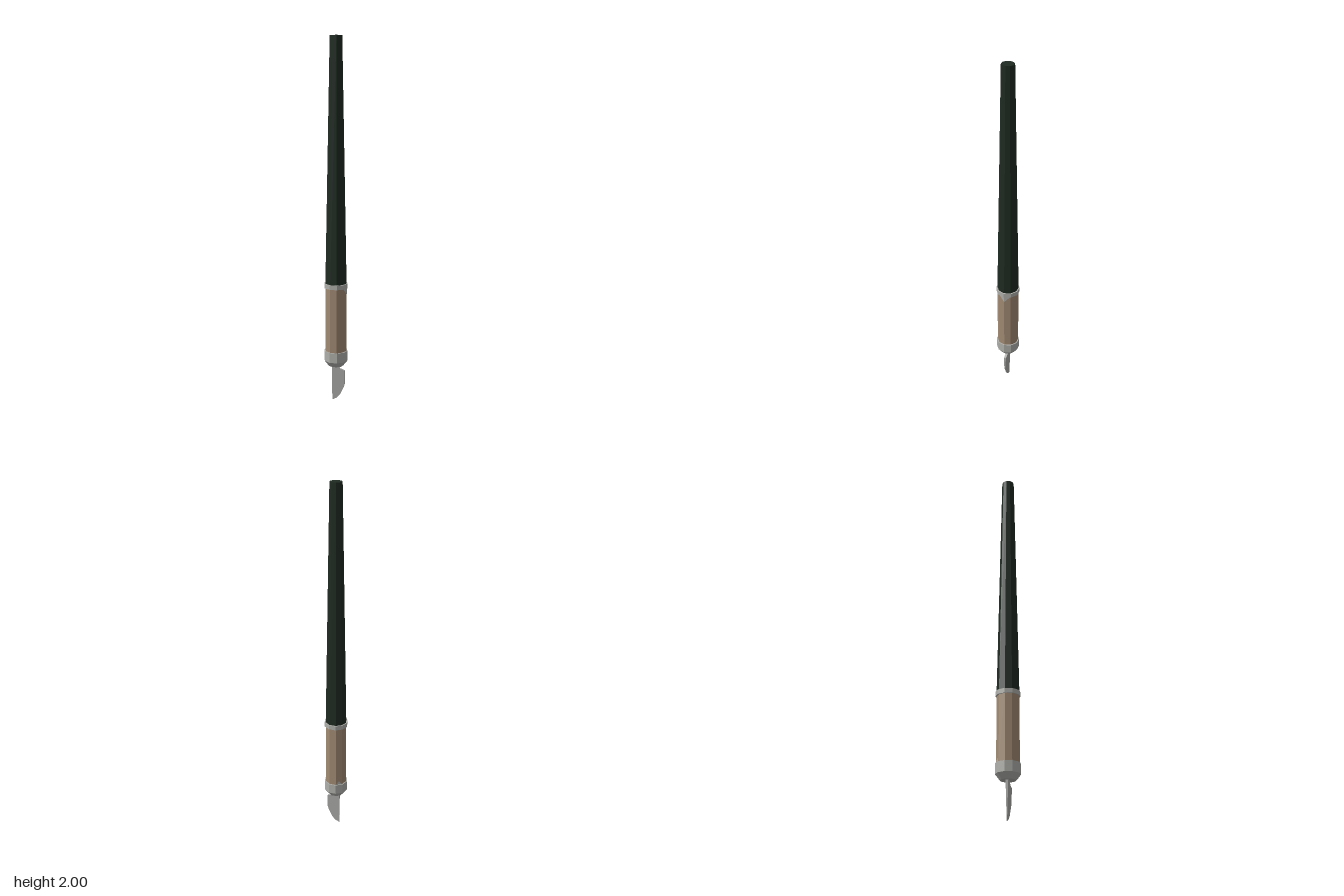
import * as THREE from 'three';

const SIDES = 10;

function mat(name, color) {
  const m = new THREE.MeshStandardMaterial({ color });
  m.name = name;
  return m;
}

// Ten-sided section with corners on the x axis
function section(name, rTop, rBottom, yTop, yBottom, material) {
  const g = new THREE.CylinderGeometry(rTop, rBottom, yTop - yBottom, SIDES).toNonIndexed();
  g.rotateY(Math.PI / 2);
  g.translate(0, (yTop + yBottom) / 2, 0);
  g.computeVertexNormals();
  const mesh = new THREE.Mesh(g, material);
  mesh.name = name;
  return mesh;
}

// Point on the ten-sided outline: whole numbers are corners, halves are mid-faces
function outlinePoint(i, r, y) {
  const a = (i * Math.PI * 2) / SIDES;
  const k = i % 1 ? Math.cos(Math.PI / SIDES) : 1;
  return [Math.cos(a) * r * k, y, Math.sin(a) * r * k];
}

// Thin metal tab lying on the grip
function tab(name, points, material) {
  const g = new THREE.BufferGeometry();
  g.setAttribute('position', new THREE.Float32BufferAttribute(points.flat(), 3));
  g.computeVertexNormals();
  const mesh = new THREE.Mesh(g, material);
  mesh.name = name;
  return mesh;
}

export function createModel() {
  const group = new THREE.Group();
  group.name = 'craftKnife';
  const green = mat('dark green', 0x1f2b22);
  const tan = mat('tan grip', 0xa38c74);
  const metal = mat('collar metal', 0xb0b0ac);
  const steel = mat('blade steel', 0xaaaaa8);

  // Handle, grip and collars
  group.add(
    section('handle', 0.034, 0.06, 2, 0.67, green),
    section('upperCollar', 0.066, 0.066, 0.675, 0.65, metal),
    section('grip', 0.06, 0.06, 0.66, 0.28, tan),
    section('lowerCollar', 0.066, 0.066, 0.292, 0.236, metal),
    section('collarTaper', 0.066, 0.042, 0.236, 0.205, metal)
  );

  // Pointed tabs of the collars
  const r = 0.061;
  group.add(
    tab('upperTab', [
      outlinePoint(1, r, 0.652), outlinePoint(0, r, 0.612), outlinePoint(0, r, 0.652),
      outlinePoint(0, r, 0.612), outlinePoint(-1, r, 0.652), outlinePoint(0, r, 0.652),
    ], metal),
    tab('lowerTab', [
      outlinePoint(7, r, 0.29), outlinePoint(6, r, 0.29), outlinePoint(6.5, r, 0.315),
    ], metal)
  );

  // Blade, thinning towards the tip
  const outline = new THREE.Shape([
    [-0.021, 0.215], [-0.021, 0], [0.005, 0.012], [0.025, 0.035], [0.043, 0.075],
    [0.051, 0.1], [0.051, 0.176], [0.022, 0.186], [0.012, 0.2], [0.012, 0.215],
  ].map(([x, y]) => new THREE.Vector2(x, y)));
  const bladeGeo = new THREE.ExtrudeGeometry(outline, { depth: 1, bevelEnabled: false });
  const p = bladeGeo.attributes.position;
  for (let i = 0; i < p.count; i++) {
    p.setZ(i, (p.getZ(i) - 0.5) * (0.002 + 0.06 * p.getY(i)));
  }
  bladeGeo.computeVertexNormals();
  const blade = new THREE.Mesh(bladeGeo, steel);
  blade.name = 'blade';
  group.add(blade);

  return group;
}
